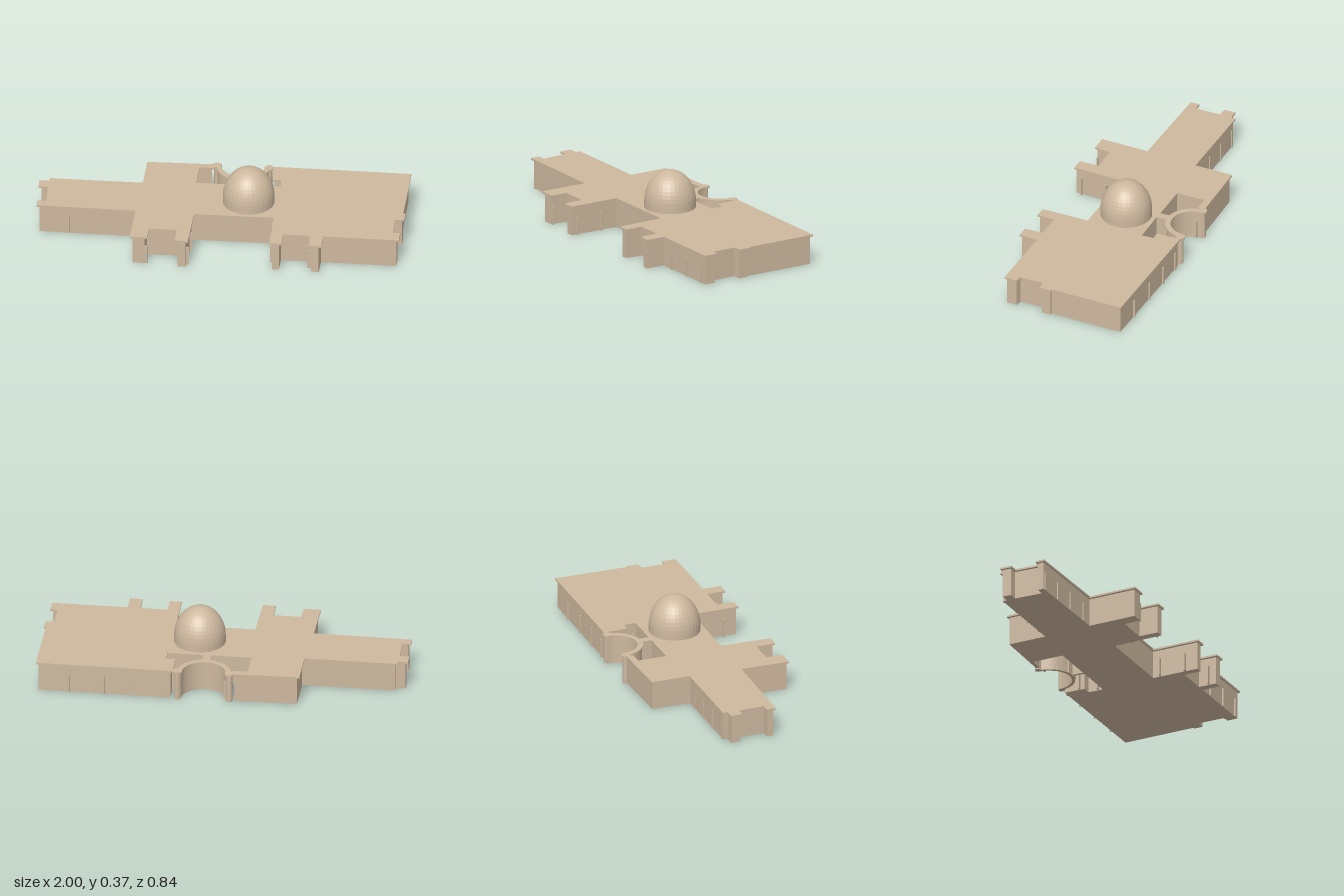
import * as THREE from 'three';

const WALL_H = 0.157, ROOF_H = 0.167;

// Roof edge as [x, z], clockwise seen from above
const OUTLINE = [
  // rear of the left wing, rear block and open court
  [-1, -0.185], [-0.945, -0.185], [-0.945, -0.21], [-0.44, -0.19], [-0.43, -0.408],
  [-0.065, -0.403], [-0.065, -0.365], [-0.147, -0.365], [-0.153, -0.205],
  [0.065, -0.198], [0.065, -0.262], [0.107, -0.262], [0.107, -0.195],
  [0.303, -0.19], [0.303, -0.258], [0.255, -0.258], [0.255, -0.395],
  // right end
  [1, -0.362], [0.98, 0.05], [0.992, 0.05], [0.988, 0.118], [0.94, 0.118],
  [0.936, 0.25], [0.975, 0.258], [0.97, 0.332],
  // front bays and forecourt
  [0.562, 0.315], [0.556, 0.42], [0.488, 0.415], [0.49, 0.312], [0.345, 0.306],
  [0.34, 0.405], [0.275, 0.402], [0.284, 0.135], [-0.147, 0.12], [-0.165, 0.405],
  [-0.235, 0.4], [-0.232, 0.29], [-0.38, 0.285], [-0.388, 0.378], [-0.48, 0.375], [-0.466, 0.103],
  // left end
  [-1, 0.075], [-0.997, 0.024], [-0.95, 0.024], [-0.95, -0.117], [-1, -0.12],
];

// Moves every edge inwards with mitred corners
function inset(points, ax, az) {
  const n = points.length;
  const normal = (a, b) => new THREE.Vector2(a[1] - b[1], b[0] - a[0]).normalize();
  return points.map((p, i) => {
    const n1 = normal(points[(i + n - 1) % n], p);
    const n2 = normal(p, points[(i + 1) % n]);
    const m = n1.clone().add(n2).divideScalar(1 + n1.dot(n2));
    return [p[0] + m.x * ax, p[1] + m.y * az];
  });
}

export function createModel() {
  const group = new THREE.Group();
  const stone = new THREE.MeshStandardMaterial({ color: 0xcdb89e, flatShading: true });
  const add = (name, geometry, x = 0, y = 0, z = 0) => {
    const mesh = new THREE.Mesh(geometry, stone);
    mesh.name = name;
    mesh.position.set(x, y, z);
    group.add(mesh);
    return mesh;
  };
  const slab = (name, points, y0, y1) => {
    const shape = new THREE.Shape(points.map(([x, z]) => new THREE.Vector2(x, -z)));
    const g = new THREE.ExtrudeGeometry(shape, { depth: y1 - y0, bevelEnabled: false });
    add(name, g.rotateX(-Math.PI / 2), 0, y0);
  };

  // Main building and overhanging roof
  slab('walls', inset(OUTLINE, 0.014, 0.009), 0, WALL_H);
  slab('roof', OUTLINE, WALL_H, ROOF_H);

  // Curved screen wall behind the court, a half ring as [x, z]
  const halfRing = (half) => {
    const points = [], steps = 20, r = 0.132;
    for (let i = 0; i <= steps; i++) {
      const a = Math.PI * i / steps;
      points.push([0.09 + (r + half) * Math.cos(a), -0.395 + (r + half) * Math.sin(a)]);
    }
    for (let i = steps; i >= 0; i--) {
      const a = Math.PI * i / steps;
      points.push([0.09 + (r - half) * Math.cos(a), -0.395 + (r - half) * Math.sin(a)]);
    }
    return points;
  };
  slab('screenWall', halfRing(0.008), 0, WALL_H);
  slab('screenWallCoping', halfRing(0.015), WALL_H, ROOF_H);

  // Round piers at the ends of the screen wall
  for (const [x, z] of [[-0.05, -0.397], [0.231, -0.386]]) {
    add('pier', new THREE.CylinderGeometry(0.017, 0.017, WALL_H, 20), x, WALL_H / 2, z);
    add('pierCap', new THREE.CylinderGeometry(0.025, 0.025, ROOF_H - WALL_H, 20),
      x, (WALL_H + ROOF_H) / 2, z);
  }

  // Dome on a short drum
  const profile = [new THREE.Vector2(0.14, ROOF_H - 0.005)];
  for (let i = 0; i <= 12; i++) {
    const a = Math.PI / 2 * i / 12;
    profile.push(new THREE.Vector2(i === 12 ? 0 : 0.14 * Math.cos(a), 0.2 + 0.173 * Math.sin(a)));
  }
  add('dome', new THREE.LatheGeometry(profile, 32), 0.14, 0, -0.03);

  // Slim posts along the long walls: x positions, z at x = 0, slope
  const postGeometry = new THREE.BoxGeometry(0.008, 0.105, 0.01);
  const rows = [
    [[-0.97, -0.825, -0.68, -0.53], 0.117, 0.05],
    [[0.63, 0.78, 0.925], 0.286, 0.042],
    [[-0.91, -0.77, -0.63, -0.5], -0.165, 0.04],
    [[0.31, 0.46, 0.63, 0.82], -0.402, 0.044],
  ];
  for (const [xs, z0, slope] of rows) {
    for (const x of xs) add('wallPost', postGeometry, x, 0.0525, z0 + slope * x);
  }

  // Slim posts in the forecourt, bays and rear court
  const courtPost = new THREE.BoxGeometry(0.018, 0.105, 0.008);
  const spots = [
    [-0.395, 0.365], [-0.16, 0.215], [-0.17, 0.365], [0.288, 0.17], [0.283, 0.32], [0.49, 0.365],
    [-0.15, -0.355], [0.258, -0.295], [0.302, -0.205], [-0.027, -0.37], [0.05, -0.26], [0.125, -0.26],
  ];
  for (const [x, z] of spots) add('courtPost', courtPost, x, 0.0525, z);

  return group;
}
